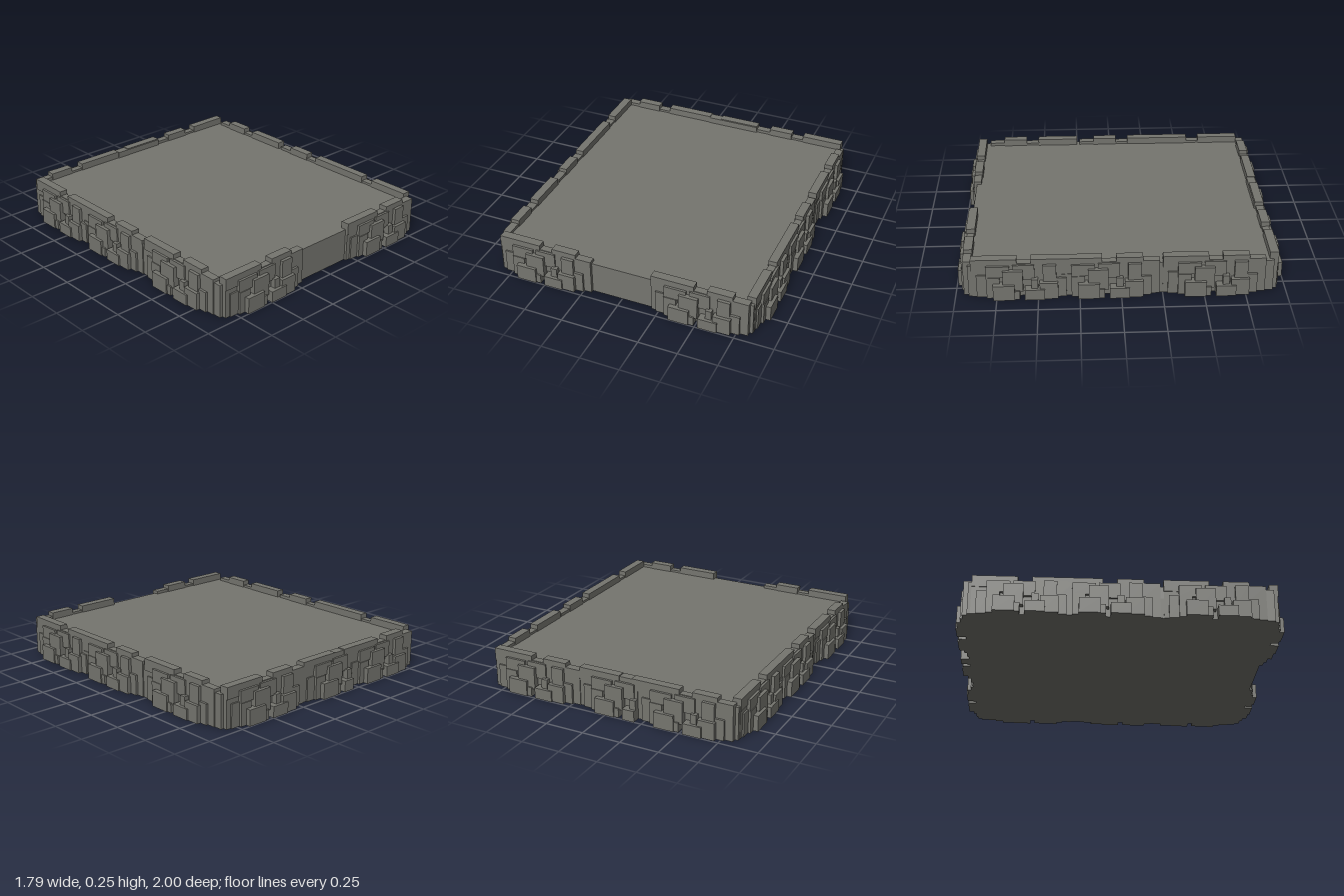
import * as THREE from 'three';

// Stones of one wall section: [start, end, bottom, top, inset of outer face]
const STONES = [
  [0.00, 0.25, 0.00, 0.225, 0.055],
  [0.25, 0.40, 0.00, 0.225, 0.055],
  [0.38, 0.62, 0.00, 0.23, 0.050],
  [0.03, 0.13, 0.00, 0.15, 0.045],
  [0.09, 0.23, 0.14, 0.215, 0.035],
  [0.09, 0.17, 0.00, 0.14, 0.030],
  [0.13, 0.26, 0.00, 0.10, 0.000],
  [0.19, 0.31, 0.05, 0.19, 0.018],
  [0.25, 0.29, 0.00, 0.06, 0.008],
  [0.25, 0.38, 0.12, 0.22, 0.040],
  [0.32, 0.44, 0.00, 0.07, 0.000],
  [0.36, 0.40, 0.05, 0.13, 0.020],
  [0.41, 0.52, 0.00, 0.11, 0.010],
  [0.43, 0.51, 0.08, 0.22, 0.030],
  [0.51, 0.57, 0.00, 0.13, 0.035],
];

// Coping stones on top of each section: [start, end]
const CAPS = [[0.00, 0.275], [0.36, 0.52]];

export function createModel() {
  const model = new THREE.Group();
  model.name = 'stonePlatform';
  const stone = new THREE.MeshStandardMaterial({ color: 0x75756f });
  stone.name = 'grey stone';

  function block(parent, name, x0, x1, y0, y1, z0, z1) {
    const mesh = new THREE.Mesh(new THREE.BoxGeometry(x1 - x0, y1 - y0, z1 - z0), stone);
    mesh.position.set((x0 + x1) / 2, (y0 + y1) / 2, (z0 + z1) / 2);
    mesh.name = name;
    parent.add(mesh);
  }

  // One section of stacked stones, cut off at the given length
  function section(parent, start, face, length = 0.62) {
    const group = new THREE.Group();
    group.name = 'wallSection';
    for (const [a, b, y0, y1, inset] of STONES) {
      if (a < length) {
        block(group, 'wallStone', start + a, start + Math.min(b, length), y0, y1, face - 0.1, face - inset);
      }
    }
    for (const [a, b] of CAPS) {
      if (a < length) {
        block(group, 'copingStone', start + a, start + Math.min(b, length), 0.18, 0.255, face - 0.105, face - 0.05);
      }
    }
    parent.add(group);
  }

  // Each wall is laid out facing +z and then turned to its side
  function wall(name, turn, face, starts) {
    const group = new THREE.Group();
    group.name = name;
    for (const start of starts) section(group, start, face);
    group.rotation.y = turn;
    model.add(group);
    return group;
  }

  // Deck and the plain step in the front opening
  block(model, 'deck', -0.84, 0.84, 0, 0.21, -0.92, 0.92);
  block(model, 'entranceStep', -0.21, 0.21, 0, 0.21, 0.85, 0.93);

  wall('frontWall', 0, 1, [-0.82, 0.2]);
  const back = wall('backWall', Math.PI, 1, [-0.82, 0.2]);
  section(back, -0.2, 1, 0.4);
  block(back, 'copingStone', -0.2, 0.16, 0.18, 0.25, 0.89, 0.945);

  for (const side of [1, -1]) {
    wall(side > 0 ? 'leftWall' : 'rightWall', side * Math.PI / 2, 0.897, [-0.9, -0.39, 0.25]);
  }
  return model;
}
